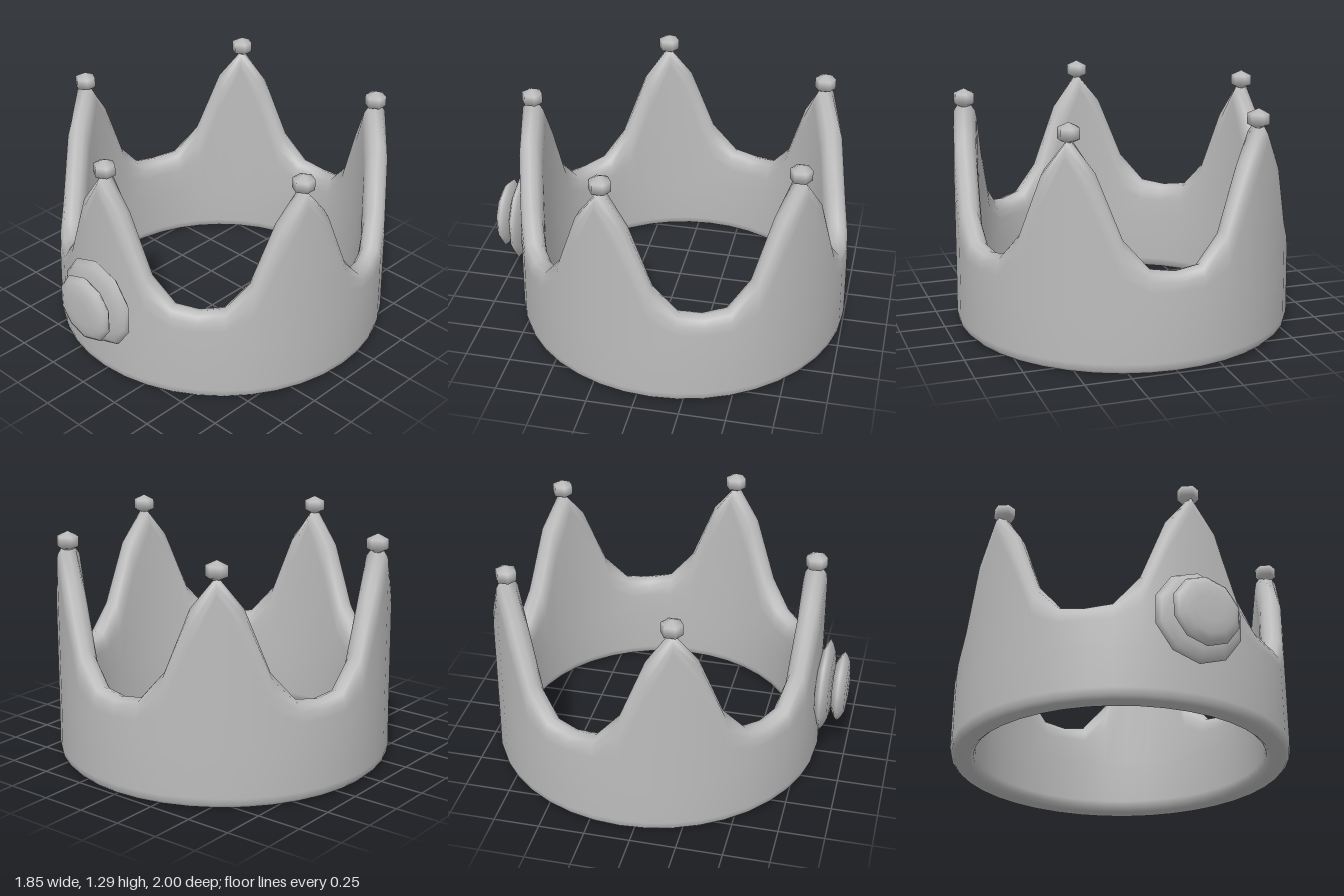
import * as THREE from 'three';

const SPIKES = 5;
const SEGMENTS = 40;
const CENTER_Z = -0.077;
// Rim height from the tip of a spike to the middle of the valley, in 9 degree steps
const RIM = [1.21, 1.04, 0.7, 0.545, 0.525];

const silver = new THREE.MeshStandardMaterial({ color: 0xbcbcbc });
silver.name = 'silver';

function rimHeight(i) {
  const k = ((i % 8) + 8) % 8;
  return RIM[Math.min(k, 8 - k)];
}

// Closed wall cross-section as [radius, height]: up the outside, over the rim, down the inside
function wallSection(i) {
  const h = rimHeight(i);
  const step = (Math.PI * 2 / SEGMENTS) * 0.86;
  const slope = Math.abs(rimHeight(i + 1) - rimHeight(i - 1)) / (2 * step);
  const drop = 0.045 * Math.hypot(1, slope);
  return [
    [0.865, 0], [0.902, 0.004], [0.918, 0.022], [0.925, 0.06],
    [0.922, 0.3], [0.919, h - drop * 2], [0.915, h - drop], [0.895, h - drop * 0.3],
    [0.857, h],
    [0.818, h - drop * 0.3], [0.797, h - drop], [0.789, h - drop * 2],
    [0.786, 0.3], [0.79, 0.06], [0.798, 0.022], [0.82, 0.004],
  ];
}

// Band with five spikes, swept around the circle
function buildBand() {
  const positions = [];
  const indices = [];
  const n = wallSection(0).length;
  for (let i = 0; i < SEGMENTS; i++) {
    const a = (i / SEGMENTS) * Math.PI * 2;
    for (const [r, y] of wallSection(i)) {
      positions.push(r * Math.sin(a), y, r * Math.cos(a));
    }
    const next = (i + 1) % SEGMENTS;
    for (let j = 0; j < n; j++) {
      const k = (j + 1) % n;
      const p = i * n + j, q = next * n + j, s = next * n + k, t = i * n + k;
      indices.push(p, q, s, p, s, t);
    }
  }
  const geometry = new THREE.BufferGeometry();
  geometry.setAttribute('position', new THREE.Float32BufferAttribute(positions, 3));
  geometry.setIndex(indices);
  geometry.computeVertexNormals();
  return geometry;
}

// Ten-sided lens facing forward
function buildDisc(name, radius, half, z) {
  const side = [[0, 1], [0.4, 0.98], [0.72, 0.83], [0.9, 0.42]];
  const points = [
    ...side.map(([r, d]) => new THREE.Vector2(r * radius, -d * half)),
    new THREE.Vector2(radius, 0),
    ...side.slice().reverse().map(([r, d]) => new THREE.Vector2(r * radius, d * half)),
  ];
  const geometry = new THREE.LatheGeometry(points, 10);
  geometry.rotateX(Math.PI / 2);
  const mesh = new THREE.Mesh(geometry, silver);
  mesh.name = name;
  mesh.position.set(0, 0.466, z);
  return mesh;
}

export function createModel() {
  const crown = new THREE.Group();
  crown.name = 'crown';

  const band = new THREE.Mesh(buildBand(), silver);
  band.name = 'band';
  band.position.z = CENTER_Z;
  crown.add(band);

  // Small bead on each spike
  const beadGeometry = new THREE.SphereGeometry(0.067, 6, 3);
  beadGeometry.rotateY(Math.PI / 6);
  beadGeometry.scale(1, 0.83, 1);
  for (let i = 0; i < SPIKES; i++) {
    const a = (i / SPIKES) * Math.PI * 2;
    const bead = new THREE.Mesh(beadGeometry, silver);
    bead.name = 'bead' + (i + 1);
    bead.position.set(0.857 * Math.sin(a), 1.235, 0.857 * Math.cos(a) + CENTER_Z);
    crown.add(bead);
  }

  // Front jewel: setting and stone
  crown.add(buildDisc('jewelSetting', 0.254, 0.044, 0.869));
  crown.add(buildDisc('jewelStone', 0.193, 0.044, 0.956));
  return crown;
}
